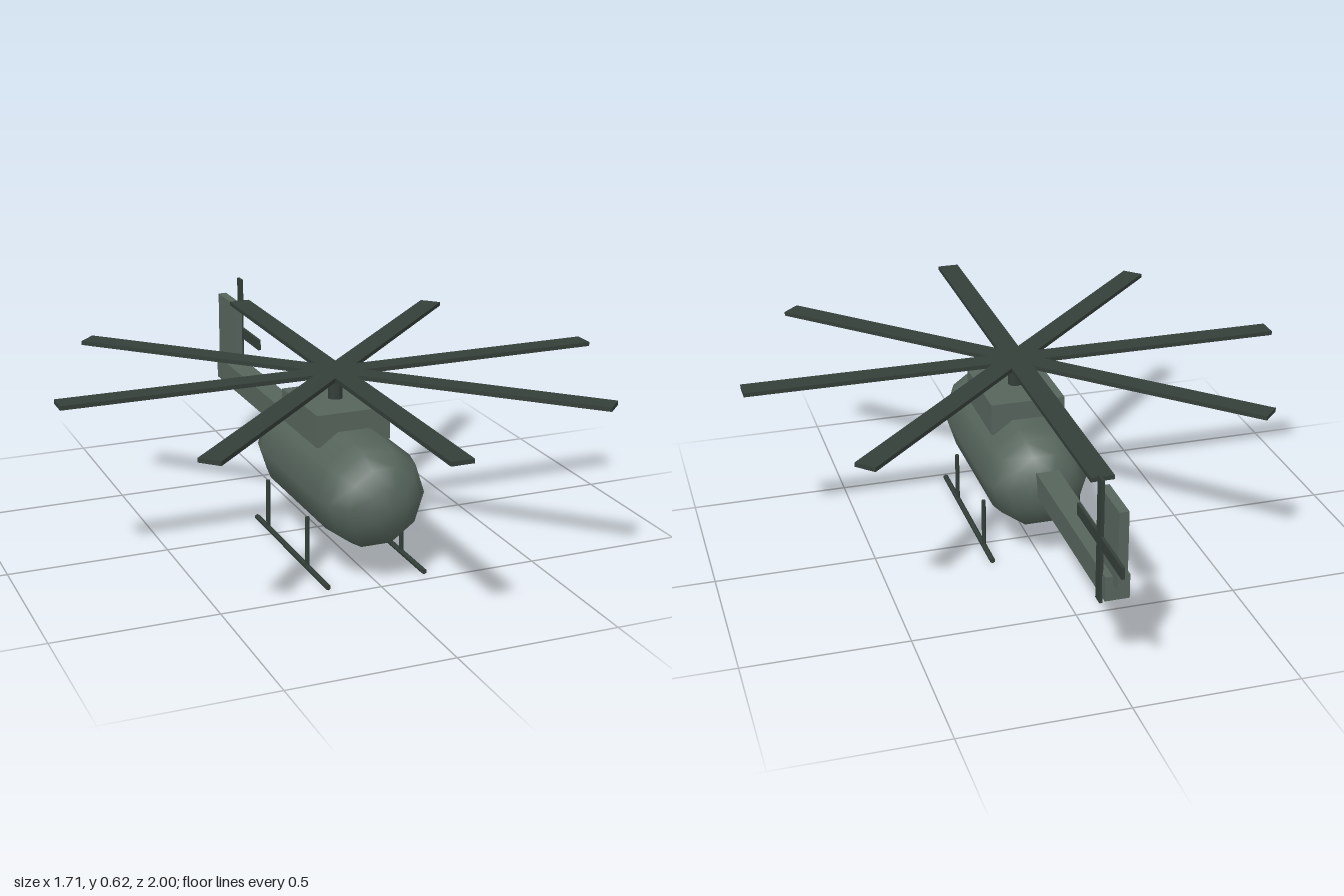
import * as THREE from 'three';

export function createModel() {
  const model = new THREE.Group();
  const hullMat = new THREE.MeshStandardMaterial({ color: 0x56655c });
  const darkMat = new THREE.MeshStandardMaterial({ color: 0x343f39 });

  const add = (name, geometry, material, x, y, z, parent = model) => {
    const mesh = new THREE.Mesh(geometry, material);
    mesh.name = name;
    mesh.position.set(x, y, z);
    parent.add(mesh);
    return mesh;
  };
  const box = (w, h, d) => new THREE.BoxGeometry(w, h, d);
  const group = (name, x, y, z) => {
    const g = new THREE.Group();
    g.name = name;
    g.position.set(x, y, z);
    model.add(g);
    return g;
  };

  // Capsule fuselage lying along z, ten-sided
  const hull = new THREE.CapsuleGeometry(0.165, 0.458, 4, 10).rotateX(Math.PI / 2);
  add('fuselage', hull, hullMat, 0, 0.262, 0.165);

  // Engine housing and rotor mast
  add('engineHousing', box(0.236, 0.1, 0.286), hullMat, 0, 0.427, 0.143);
  add('rotorMast', new THREE.CylinderGeometry(0.024, 0.024, 0.086, 8), darkMat, 0, 0.517, 0.143);

  // Main rotor: four full-span bars make eight blades
  const rotor = group('mainRotor', 0, 0.56, 0.143);
  for (let i = 0; i < 4; i++) {
    add('rotorBlade', box(1.714, 0.013, 0.069), darkMat, 0, 0, 0, rotor).rotation.y = i * Math.PI / 4;
  }

  // Tail boom and fin
  add('tailBoom', box(0.072, 0.075, 0.714), hullMat, 0, 0.296, -0.497);
  add('tailFin', box(0.028, 0.239, 0.163), hullMat, 0, 0.43, -0.812);

  // Tail rotor on the left side of the fin
  const tailRotor = group('tailRotor', 0.038, 0.428, -0.811);
  for (let i = 0; i < 2; i++) {
    add('tailRotorBlade', box(0.009, 0.378, 0.036), darkMat, 0, 0, 0, tailRotor).rotation.x = i * Math.PI / 2;
  }

  // Landing skids with two struts each
  const rail = new THREE.CylinderGeometry(0.0085, 0.0085, 0.6, 6).rotateX(Math.PI / 2);
  const strut = new THREE.CylinderGeometry(0.007, 0.007, 0.16, 6);
  for (const side of [-1, 1]) {
    const skid = group(side > 0 ? 'leftSkid' : 'rightSkid', side * 0.155, 0, 0);
    add('skidRail', rail, darkMat, 0, 0.0085, 0.166, skid);
    for (const z of [0.3, -0.032]) add('skidStrut', strut, darkMat, 0, 0.09, z, skid);
  }

  return model;
}
